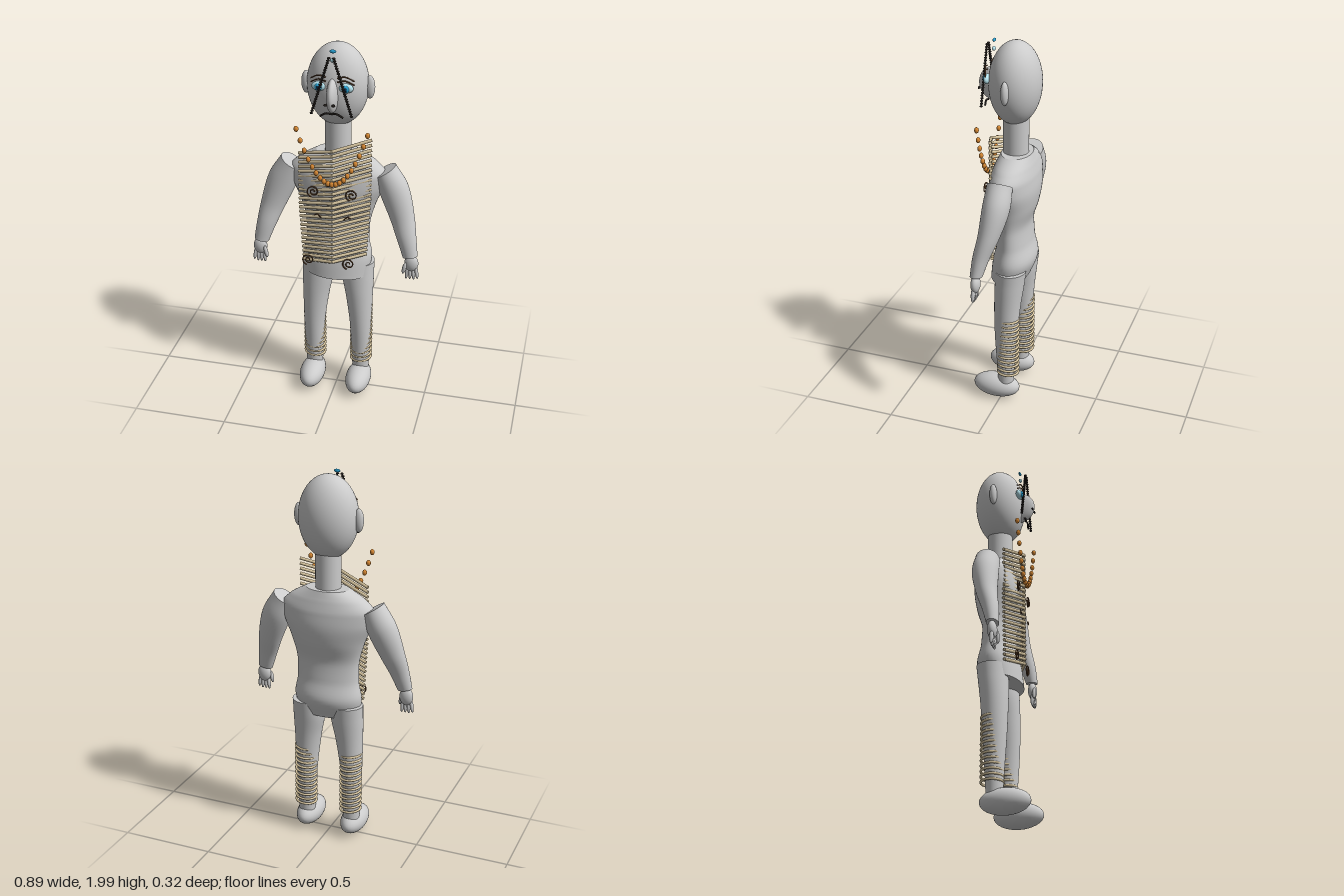
import * as THREE from 'three';

const mat = (color) => new THREE.MeshStandardMaterial({ color });
const grey = mat(0xcccccc), cane = mat(0xd8c6a0), amber = mat(0xd98a35);
const dark = mat(0x2a2522), brown = mat(0x6b4a30), shell = mat(0xb8e4ee);
const blue = mat(0x2aa8dc), pupilBlue = mat(0x0c2c48);
const V = (x, y, z) => new THREE.Vector3(x, y, z);

function add(parent, name, geometry, material) {
  const mesh = new THREE.Mesh(geometry, material);
  mesh.name = name;
  parent.add(mesh);
  return mesh;
}

function ellipsoid(parent, name, pos, size, material, detail = 32) {
  const mesh = add(parent, name, new THREE.SphereGeometry(1, detail, Math.max(6, detail / 2)), material);
  mesh.position.set(...pos);
  mesh.scale.set(...size);
  return mesh;
}

// Smooth capped body through sections [x, y, z, rx, rz, tilt], listed from bottom to top
function loft(sections, sides = 36, steps = 28) {
  const centres = new THREE.CatmullRomCurve3(sections.map((s) => V(s[0], s[1], s[2])));
  const radii = new THREE.CatmullRomCurve3(sections.map((s) => V(s[3], s[4], s[5] || 0)));
  const pos = [], index = [];
  const ring = (t) => {
    const c = centres.getPoint(t), r = radii.getPoint(t);
    const start = pos.length / 3;
    for (let j = 0; j < sides; j++) {
      const a = (j / sides) * Math.PI * 2, u = r.x * Math.cos(a);
      pos.push(c.x + u * Math.cos(r.z), c.y + u * Math.sin(r.z), c.z + r.y * Math.sin(a));
    }
    return start;
  };
  for (let i = 0; i <= steps; i++) ring(i / steps);
  for (let i = 0; i < steps; i++) {
    for (let j = 0; j < sides; j++) {
      const a = i * sides + j, b = i * sides + ((j + 1) % sides);
      index.push(a, a + sides, b, a + sides, b + sides, b);
    }
  }
  for (const t of [0, 1]) {
    const start = ring(t), c = centres.getPoint(t);
    const mid = pos.length / 3;
    pos.push(c.x, c.y, c.z);
    for (let j = 0; j < sides; j++) {
      const a = start + j, b = start + ((j + 1) % sides);
      if (t) index.push(mid, b, a);
      else index.push(mid, a, b);
    }
  }
  const geo = new THREE.BufferGeometry();
  geo.setAttribute('position', new THREE.Float32BufferAttribute(pos, 3));
  geo.setIndex(index);
  geo.computeVertexNormals();
  return geo;
}

function rod(parent, name, a, b, r, material) {
  const mesh = add(parent, name, new THREE.CylinderGeometry(r, r, a.distanceTo(b), 10), material);
  mesh.position.copy(a).lerp(b, 0.5);
  mesh.quaternion.setFromUnitVectors(V(0, 1, 0), b.clone().sub(a).normalize());
  return mesh;
}

function tube(parent, name, points, r, material) {
  return add(parent, name, new THREE.TubeGeometry(new THREE.CatmullRomCurve3(points), 32, r, 6), material);
}

function spiral(parent, x, y, z) {
  const points = [];
  for (let i = 0; i <= 20; i++) {
    const a = (i / 20) * Math.PI * 3.4, r = 0.006 + 0.028 * (i / 20);
    points.push(V(x + r * Math.cos(a), y + r * Math.sin(a), z));
  }
  tube(parent, 'spiralMarking', points, 0.0035, brown);
}

function buildHead() {
  const head = new THREE.Group();
  head.name = 'head';
  ellipsoid(head, 'skull', [0, 1.782, -0.032], [0.155, 0.214, 0.132], grey, 48);
  ellipsoid(head, 'nose', [0, 1.765, 0.075], [0.03, 0.09, 0.084], grey);
  // forehead jewels
  ellipsoid(head, 'foreheadJewel', [0, 1.987, 0.078], [0.017, 0.009, 0.007], blue, 16);
  ellipsoid(head, 'foreheadJewel', [0, 1.943, 0.08], [0.013, 0.011, 0.009], shell, 16);
  for (const s of [-1, 1]) {
    ellipsoid(head, 'ear', [s * 0.16, 1.778, -0.03], [0.026, 0.06, 0.02], grey);
    ellipsoid(head, 'eye', [s * 0.068, 1.81, 0.09], [0.036, 0.024, 0.017], shell);
    ellipsoid(head, 'iris', [s * 0.068, 1.81, 0.104], [0.018, 0.018, 0.009], blue, 24);
    ellipsoid(head, 'pupil', [s * 0.068, 1.81, 0.111], [0.008, 0.009, 0.005], pupilBlue, 16);
    ellipsoid(head, 'nostril', [s * 0.02, 1.74, 0.153], [0.01, 0.007, 0.005], dark, 16);
    // brow lines
    for (let k = 0; k < 2; k++) {
      const y = 1.835 + k * 0.02;
      tube(head, 'brow', [V(s * 0.028, y + 0.008, 0.105), V(s * 0.065, y + 0.016, 0.102),
        V(s * 0.108, y - 0.008, 0.085)], 0.0035, brown);
    }
    // drooping mouth line
    tube(head, 'mouth', [V(0, 1.677, 0.11), V(s * 0.025, 1.681, 0.113), V(s * 0.058, 1.662, 0.108)], 0.005, dark);
    // corded face stripe
    const a = V(s * 0.012, 1.965, 0.112), b = V(s * 0.1, 1.675, 0.112);
    rod(head, 'faceStripe', a, b, 0.004, dark);
    for (let i = 0; i < 24; i++) {
      const p = a.clone().lerp(b, i / 23);
      ellipsoid(head, 'faceStripeBead', p.toArray(), [0.009, 0.005, 0.008], dark, 8);
    }
  }
  return head;
}

function buildArm(s) {
  const arm = new THREE.Group();
  arm.name = s > 0 ? 'leftArm' : 'rightArm';
  add(arm, 'sleeve', loft([
    [s * 0.398, 0.89, 0.037, 0.039, 0.031, s * 0.18],
    [s * 0.375, 0.98, 0.02, 0.05, 0.042, s * 0.22],
    [s * 0.343, 1.09, -0.01, 0.064, 0.054, s * 0.3],
    [s * 0.295, 1.225, -0.032, 0.077, 0.068, s * 0.42],
    [s * 0.243, 1.332, -0.035, 0.064, 0.064, s * 0.56],
  ]), grey);
  // hand
  ellipsoid(arm, 'palm', [s * 0.406, 0.85, 0.038], [0.037, 0.048, 0.024], grey, 24);
  for (let i = 0; i < 4; i++) {
    const x = 0.384 + i * 0.017;
    const finger = ellipsoid(arm, 'finger', [s * x, 0.795 + (i === 3 ? 0.006 : 0), 0.042], [0.0095, 0.04, 0.011], grey, 14);
    finger.rotation.z = s * (i - 1) * 0.08;
  }
  const thumb = ellipsoid(arm, 'thumb', [s * 0.372, 0.825, 0.055], [0.011, 0.035, 0.011], grey, 14);
  thumb.rotation.z = -s * 0.2;
  return arm;
}

function buildLeg(s) {
  const leg = new THREE.Group();
  leg.name = s > 0 ? 'leftLeg' : 'rightLeg';
  add(leg, 'legBody', loft([
    [s * 0.13, 0.1, -0.025, 0.044, 0.042],
    [s * 0.13, 0.22, -0.025, 0.05, 0.048],
    [s * 0.128, 0.4, -0.025, 0.058, 0.06],
    [s * 0.118, 0.58, -0.03, 0.073, 0.07],
    [s * 0.108, 0.7, -0.038, 0.086, 0.077],
    [s * 0.108, 0.787, -0.045, 0.087, 0.08],
  ]), grey);
  ellipsoid(leg, 'foot', [s * 0.13, 0.072, 0.028], [0.068, 0.067, 0.129], grey);
  // stacked leg rings
  for (let i = 0; i < 13; i++) {
    const ring = add(leg, 'legRing', new THREE.TorusGeometry(0.055, 0.0065, 8, 32), cane);
    ring.position.set(s * 0.13, 0.17 + i * 0.0275, -0.037);
    ring.rotation.set(Math.PI / 2, s * 0.08, 0);
  }
  return leg;
}

export function createModel() {
  const model = new THREE.Group();
  model.name = 'figure';
  model.add(buildHead());
  const neck = add(model, 'neck', new THREE.CylinderGeometry(0.066, 0.066, 0.24, 32), grey);
  neck.position.set(0, 1.5, -0.035);

  add(model, 'torso', loft([
    [0, 0.722, -0.012, 0.165, 0.098],
    [0, 0.82, -0.035, 0.183, 0.11],
    [0, 0.92, -0.037, 0.168, 0.088],
    [0, 1.02, -0.037, 0.17, 0.08],
    [0, 1.14, -0.037, 0.2, 0.11],
    [0, 1.24, -0.037, 0.24, 0.121],
    [0, 1.31, -0.037, 0.25, 0.115],
    [0, 1.37, -0.04, 0.2, 0.097],
    [0, 1.418, -0.043, 0.115, 0.078],
  ], 48, 48), grey);

  for (const s of [-1, 1]) {
    model.add(buildArm(s), buildLeg(s));
    spiral(model, s * 0.1, 1.235, 0.094);
    spiral(model, s > 0 ? 0.085 : -0.13, 0.83, 0.092);
    // small belly marks
    tube(model, 'bellyMark', [V(s * 0.06, 1.09, 0.096), V(s * 0.078, 1.11, 0.097), V(s * 0.095, 1.1, 0.094)], 0.0035, brown);
  }

  // breastplate of slanted rods folded forward at the middle
  const plate = new THREE.Group();
  plate.name = 'breastplate';
  for (let i = 0; i < 25; i++) {
    const t = i / 24, y = 0.835 + 0.635 * t;
    const w = 0.17 + 0.018 * Math.min(1, t * 2), rise = 0.038 + 0.017 * t;
    const mid = V(0, y, 0.098);
    for (const s of [-1, 1]) rod(plate, 'plateRod', V(s * w, y + s * rise, 0.035), mid, 0.0085, cane);
  }
  model.add(plate);

  // bead necklace
  const necklace = new THREE.Group();
  necklace.name = 'necklace';
  for (let i = 0; i < 19; i++) {
    const u = (i - 9) / 9;
    ellipsoid(necklace, 'bead', [u * 0.18, 1.292 + 0.288 * u * u, 0.108], [0.0125, 0.0155, 0.0115], amber, 14);
  }
  model.add(necklace);
  return model;
}
